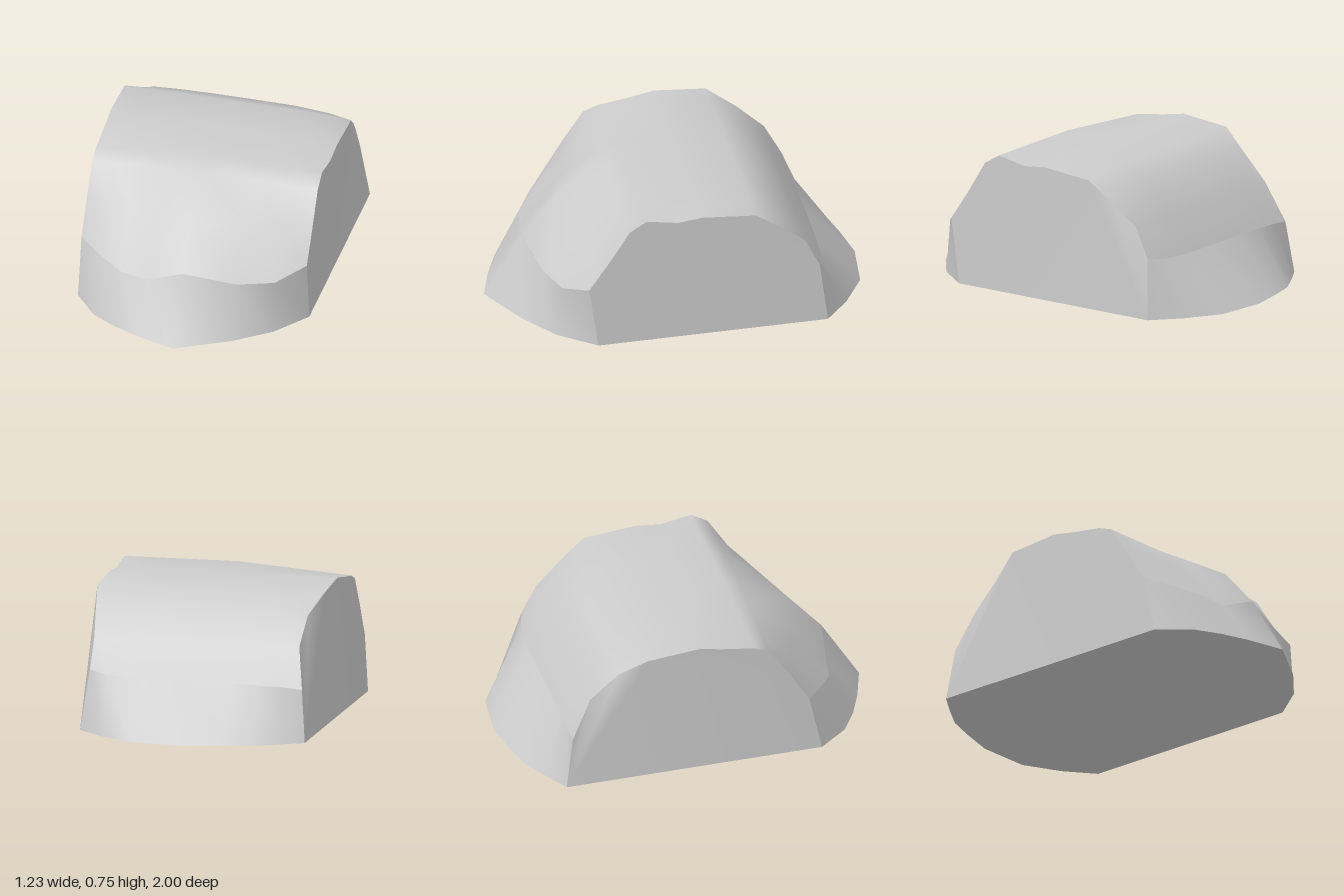
import * as THREE from 'three';

// Stations across the width, with the outlines of the foot and the upper edge of the lower bands
const X = [-0.615, -0.49, -0.35, -0.2, 0, 0.28, 0.47, 0.615];
const frontFootZ = [0.62, 0.78, 0.865, 0.93, 0.995, 0.845, 0.7, 0.51];
const frontEdgeZ = [0.55, 0.645, 0.735, 0.76, 0.79, 0.735, 0.675, 0.56];
const frontEdgeY = [0.32, 0.29, 0.26, 0.25, 0.34, 0.285, 0.29, 0.35];
const backFootZ = [-0.775, -0.85, -0.925, -0.962, -1.0, -0.97, -0.855, -0.725];

// Upper profile [z, y] from front to back, at the middle and at both ends
const middle = [[0.61, 0.55], [0.34, 0.7], [0.25, 0.742], [0.08, 0.725], [-0.05, 0.745],
  [-0.33, 0.72], [-0.48, 0.65], [-0.62, 0.48], [-0.735, 0.29]];
const rightEnd = [[0.45, 0.51], [0.34, 0.685], [0.25, 0.74], [0.08, 0.71], [-0.05, 0.725],
  [-0.34, 0.7], [-0.48, 0.59], [-0.61, 0.48], [-0.69, 0.32]];
const leftEnd = [[0.44, 0.5], [0.33, 0.665], [0.25, 0.695], [0.08, 0.72], [-0.05, 0.745],
  [-0.33, 0.72], [-0.48, 0.625], [-0.63, 0.485], [-0.735, 0.275]];
// Chipped back corners: how far the end edge is set in
const insetRight = [0, 0, 0, 0, 0, 0, 0.025, 0.05, 0.045];
const insetLeft = [0, 0, 0, 0, 0, 0, 0.055, 0.065, 0.025];
const chipStart = 7; // profile row where the chips begin

function section(i) {
  const x = X[i], t = Math.abs(x) / 0.615;
  const end = x > 0 ? rightEnd : leftEnd;
  const inset = i === 0 ? insetLeft : i === X.length - 1 ? insetRight : null;
  const crest = middle.map(([z, y], j) => {
    // the front slope changes evenly, the rest only close to the ends
    const w = j < 3 ? t : t ** 4;
    const dx = inset ? -Math.sign(x) * inset[j] : 0;
    return new THREE.Vector3(x + dx, THREE.MathUtils.lerp(y, end[j][1], w), THREE.MathUtils.lerp(z, end[j][0], w));
  });
  return [
    new THREE.Vector3(x, 0, frontFootZ[i]),
    new THREE.Vector3(x, frontEdgeY[i], frontEdgeZ[i]),
    ...crest,
    new THREE.Vector3(x, 0, backFootZ[i]),
  ];
}

function indexed(points, index) {
  const geo = new THREE.BufferGeometry().setFromPoints(points);
  geo.setIndex(index);
  geo.computeVertexNormals();
  return geo;
}

// Smooth skin over profile rows j0..j1 of all sections
function skin(sections, j0, j1) {
  const n = j1 - j0 + 1, index = [];
  for (let i = 0; i < sections.length - 1; i++) {
    for (let j = 0; j < n - 1; j++) {
      const a = i * n + j, b = a + n;
      index.push(a, b, a + 1, b, b + 1, a + 1);
    }
  }
  return indexed(sections.flatMap(s => s.slice(j0, j1 + 1)), index);
}

// Triangles filling the closed outline through the listed points, facing along dir
function fill(points, ids, flatten, dir) {
  const normal = new THREE.Vector3();
  const triangles = THREE.ShapeUtils.triangulateShape(ids.map(k => flatten(points[k])), []);
  return triangles.flatMap(triangle => {
    const [a, b, c] = triangle.map(k => ids[k]);
    THREE.Triangle.getNormal(points[a], points[b], points[c], normal);
    return normal.dot(dir) > 0 ? [a, b, c] : [a, c, b];
  });
}

// Cut end: a flat core, then the chipped corner fanned from the back foot
function endCap(points, sign) {
  const side = p => new THREE.Vector2(p.z, p.y);
  const dir = new THREE.Vector3(sign, 0, 0);
  const last = points.length - 1, core = [];
  for (let k = 0; k <= chipStart; k++) core.push(k);
  core.push(last);
  const index = fill(points, core, side, dir);
  for (let k = chipStart; k < last - 1; k++) {
    index.push(...(sign > 0 ? [last, k + 1, k] : [last, k, k + 1]));
  }
  return indexed(points, index);
}

export function createModel() {
  const group = new THREE.Group();
  group.name = 'boulderBlock';
  const material = new THREE.MeshStandardMaterial({ color: 0xcccccc });
  const add = (name, geo) => {
    const mesh = new THREE.Mesh(geo, material);
    mesh.name = name;
    group.add(mesh);
  };

  const sections = X.map((_, i) => section(i));
  const rows = sections[0].length;

  // Rounded stone faces, split at the two hard creases
  add('frontLowerBand', skin(sections, 0, 1));
  add('roundedTop', skin(sections, 1, rows - 2));
  add('backLowerBand', skin(sections, rows - 2, rows - 1));

  // Cut ends
  add('leftEnd', endCap(sections[X.length - 1], 1));
  add('rightEnd', endCap(sections[0], -1));

  // Flat underside
  const foot = [...sections.map(s => s[0]), ...sections.map(s => s[rows - 1]).reverse()];
  const plan = p => new THREE.Vector2(p.x, p.z);
  add('underside', indexed(foot, fill(foot, foot.map((_, k) => k), plan, new THREE.Vector3(0, -1, 0))));
  return group;
}
